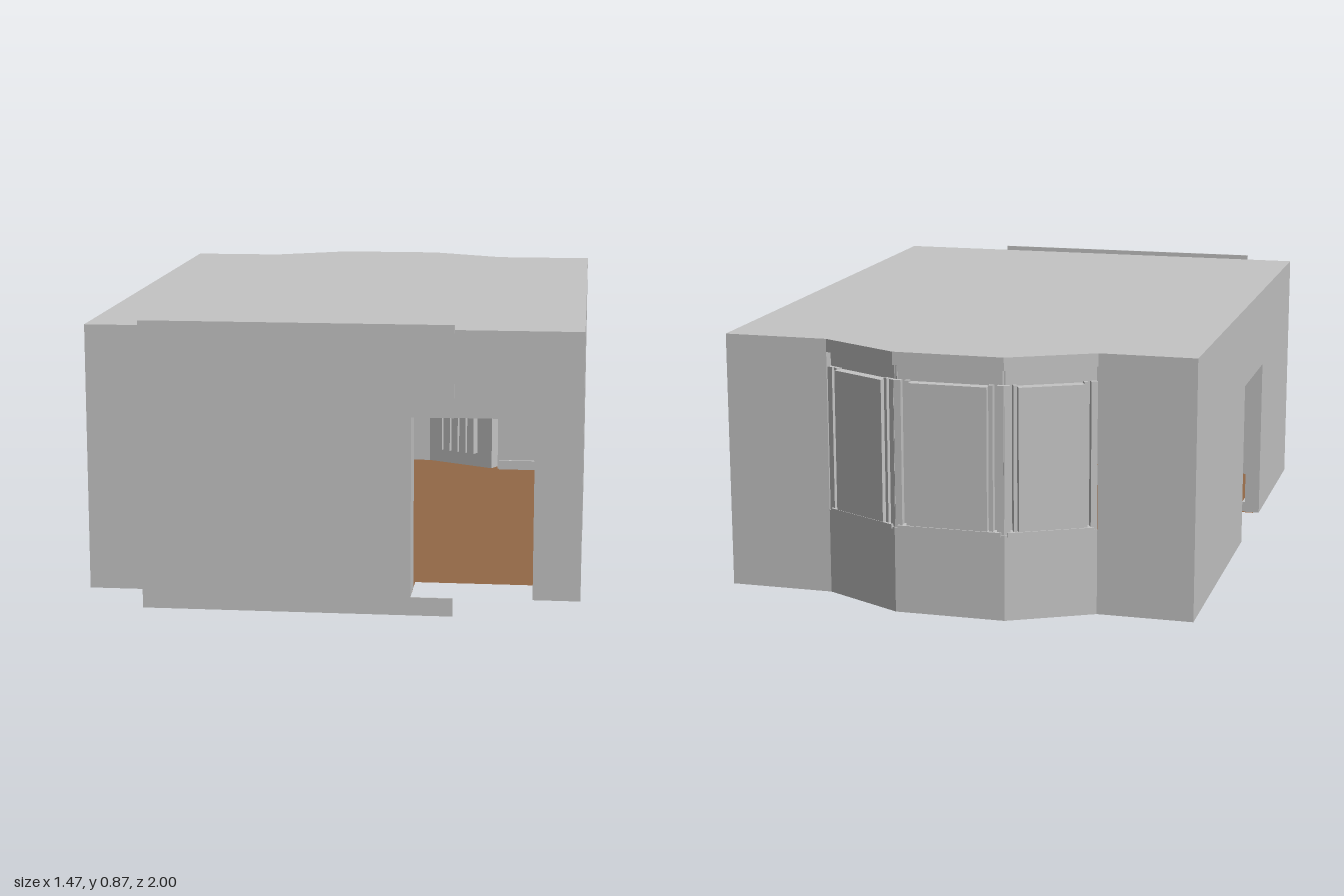
import * as THREE from 'three';

const plaster = new THREE.MeshStandardMaterial({ color: 0xc4c4c4, side: THREE.DoubleSide });
plaster.name = 'plasterGrey';
const timber = new THREE.MeshStandardMaterial({ color: 0x926846, side: THREE.DoubleSide });
timber.name = 'timberBrown';

const BASE = 0.056, TOP = 0.855;

function shapeOf(points) {
  return new THREE.Shape(points.map(([x, y]) => new THREE.Vector2(x, y)));
}

function addMesh(parent, name, geometry, material = plaster) {
  const mesh = new THREE.Mesh(geometry, material);
  mesh.name = name;
  parent.add(mesh);
  return mesh;
}

function addBox(parent, name, x0, x1, y0, y1, z0, z1) {
  const mesh = addMesh(parent, name, new THREE.BoxGeometry(x1 - x0, y1 - y0, z1 - z0));
  mesh.position.set((x0 + x1) / 2, (y0 + y1) / 2, (z0 + z1) / 2);
  return mesh;
}

// Local frame along a wall line: x runs from a to b, +z points outdoors
function wallFrame(parent, name, a, b) {
  const g = new THREE.Group();
  g.name = name;
  g.position.set(a[0], 0, a[1]);
  g.rotation.y = Math.atan2(-(b[1] - a[1]), b[0] - a[0]);
  g.userData.length = Math.hypot(b[0] - a[0], b[1] - a[1]);
  parent.add(g);
  return g;
}

// Wall leaf whose bottom edge can be notched by a doorway outline
function addLeaf(frame, name, notch, outer, thickness) {
  const L = frame.userData.length;
  const pts = [[0, BASE], ...notch, [L, BASE], [L, TOP - 0.002], [0, TOP - 0.002]];
  const geo = new THREE.ExtrudeGeometry(shapeOf(pts), { depth: thickness, bevelEnabled: false });
  geo.translate(0, 0, outer - thickness);
  return addMesh(frame, name, geo);
}

const doorway = (u0, u1, h) => [[u0, BASE], [u0, h], [u1, h], [u1, BASE]];

// One facet of the bay: low wall, head band and a framed window
function addBayFacet(parent, a, b) {
  const g = wallFrame(parent, 'bayFacet', a, b);
  const L = g.userData.length, side = L * 0.15;
  addBox(g, 'bayLowWall', 0, L, BASE, 0.32, -0.05, 0);
  addBox(g, 'bayHeadBand', 0, L, 0.815, TOP - 0.002, -0.05, 0);
  addBox(g, 'windowHead', 0, L, 0.77, 0.815, -0.05, -0.018);
  addBox(g, 'windowBacking', 0, L, 0.32, 0.77, -0.045, -0.025);
  for (const m of [0, 1]) {
    const at = (u0, u1) => (m ? [L - u1, L - u0] : [u0, u1]);
    addBox(g, 'windowPost', ...at(0, side * 0.45), 0.32, 0.77, -0.03, -0.004);
    addBox(g, 'windowStile', ...at(side * 0.7, side * 0.95), 0.32, 0.77, -0.03, -0.004);
  }
  addBox(g, 'windowPane', side, L - side, 0.33, 0.765, -0.03, 0.007);
  addBox(g, 'windowSill', 0.01, L - 0.01, 0.315, 0.328, -0.04, 0.004);
}

export function createModel() {
  const room = new THREE.Group();
  room.name = 'room';
  const FL = [-0.735, 0.995], FR = [0.73, 0.995], BR = [0.73, -0.86], BL = [-0.735, -0.86];
  const bay = [[0.405, -0.86], [0.15, -0.993], [-0.19, -0.993], [-0.44, -0.86]];

  // Roof
  const roofGeo = new THREE.ExtrudeGeometry(
    shapeOf([FL, FR, BR, ...bay, BL].map(([x, z]) => [x, -z])), { depth: 0.012, bevelEnabled: false });
  roofGeo.rotateX(-Math.PI / 2);
  roofGeo.translate(0, TOP - 0.012, 0);
  addMesh(room, 'roof', roofGeo);

  // Floor, cut back at the doorways and the hearth
  const floorGeo = new THREE.ShapeGeometry(shapeOf([
    [-0.715, 0.985], [0.23, 0.985], [0.23, 0.83], [0.59, 0.83], [0.59, 0.985], [0.72, 0.985],
    [0.72, 0.74], [0.61, 0.74], [0.61, 0.385], [0.69, 0.385], [0.69, 0.28], [0.72, 0.28],
    [0.72, -0.85], [0.4, -0.85], [0.15, -0.98], [-0.19, -0.98], [-0.435, -0.85], [-0.715, -0.85],
    [-0.715, -0.5], [-0.475, -0.5], [-0.475, -0.22], [-0.715, -0.22],
    [-0.715, 0], [-0.5, 0], [-0.5, 0.37], [-0.715, 0.37],
  ].map(([x, z]) => [x, -z])));
  floorGeo.rotateX(-Math.PI / 2);
  floorGeo.translate(0, 0.0555, 0);
  addMesh(room, 'floor', floorGeo, timber);

  // Front wall with doorway
  const front = wallFrame(room, 'frontWall', FL, FR);
  addLeaf(front, 'frontWallLeaf', doorway(0.965, 1.325, 0.597), 0, 0.1);

  // Thin facing plate on the front, cut around the doorway
  const plate = new THREE.ExtrudeGeometry(shapeOf([
    [-0.575, 0], [0.355, 0], [0.355, 0.055], [0.23, 0.055], [0.23, 0.597],
    [0.355, 0.597], [0.355, 0.87], [-0.575, 0.87],
  ]), { depth: 0.005, bevelEnabled: false });
  plate.translate(0, 0, 0.995);
  addMesh(room, 'frontFacing', plate);

  // Left-hand wall: doorway with a tall shallow recess beside it
  const left = wallFrame(room, 'leftWall', FR, BR);
  addLeaf(left, 'leftWallOuter', [
    [0.255, BASE], [0.255, 0.595], [0.45, 0.595], [0.45, 0.815], [0.715, 0.815], [0.715, BASE],
  ], 0, 0.04);
  addLeaf(left, 'leftWallInner', doorway(0.255, 0.61, 0.595), -0.04, 0.06);

  // Right-hand wall with doorway
  const right = wallFrame(room, 'rightWall', BL, FL);
  addLeaf(right, 'rightWallLeaf', doorway(0.865, 1.235, 0.59), 0, 0.05);

  // Back wall pieces either side of the bay
  addLeaf(wallFrame(room, 'backWallLeft', BR, bay[0]), 'backWallLeaf', [], 0, 0.05);
  addLeaf(wallFrame(room, 'backWallRight', bay[3], BL), 'backWallLeaf', [], 0, 0.05);
  for (let i = 0; i < 3; i++) addBayFacet(room, bay[i], bay[i + 1]);

  // Chimney breast with open hearth
  addBox(room, 'chimneyBreast', -0.685, -0.475, 0.36, 0.84, -0.55, -0.18);
  for (const z of [-0.55, -0.22]) addBox(room, 'chimneyCheek', -0.685, -0.475, BASE, 0.36, z, z + 0.04);
  const hearth = addBox(room, 'hearthBack', -0.68, -0.5, 0.12, 0.13, -0.5, -0.23);
  hearth.rotation.z = -0.4;

  // Skirting boards and radiator
  addBox(room, 'skirtingBack', 0.41, 0.63, BASE, 0.09, -0.81, -0.8);
  addBox(room, 'skirtingRight', -0.685, -0.675, BASE, 0.09, 0.38, 0.89);
  addBox(room, 'skirtingRight', -0.685, -0.675, BASE, 0.09, -0.17, -0.01);
  const inner = wallFrame(room, 'radiator', bay[0], bay[1]);
  for (let i = 0; i < 5; i++) {
    addBox(inner, 'radiatorFin', 0.06 + i * 0.035, 0.088 + i * 0.035, 0.11, 0.27, -0.085, -0.055);
  }
  return room;
}
